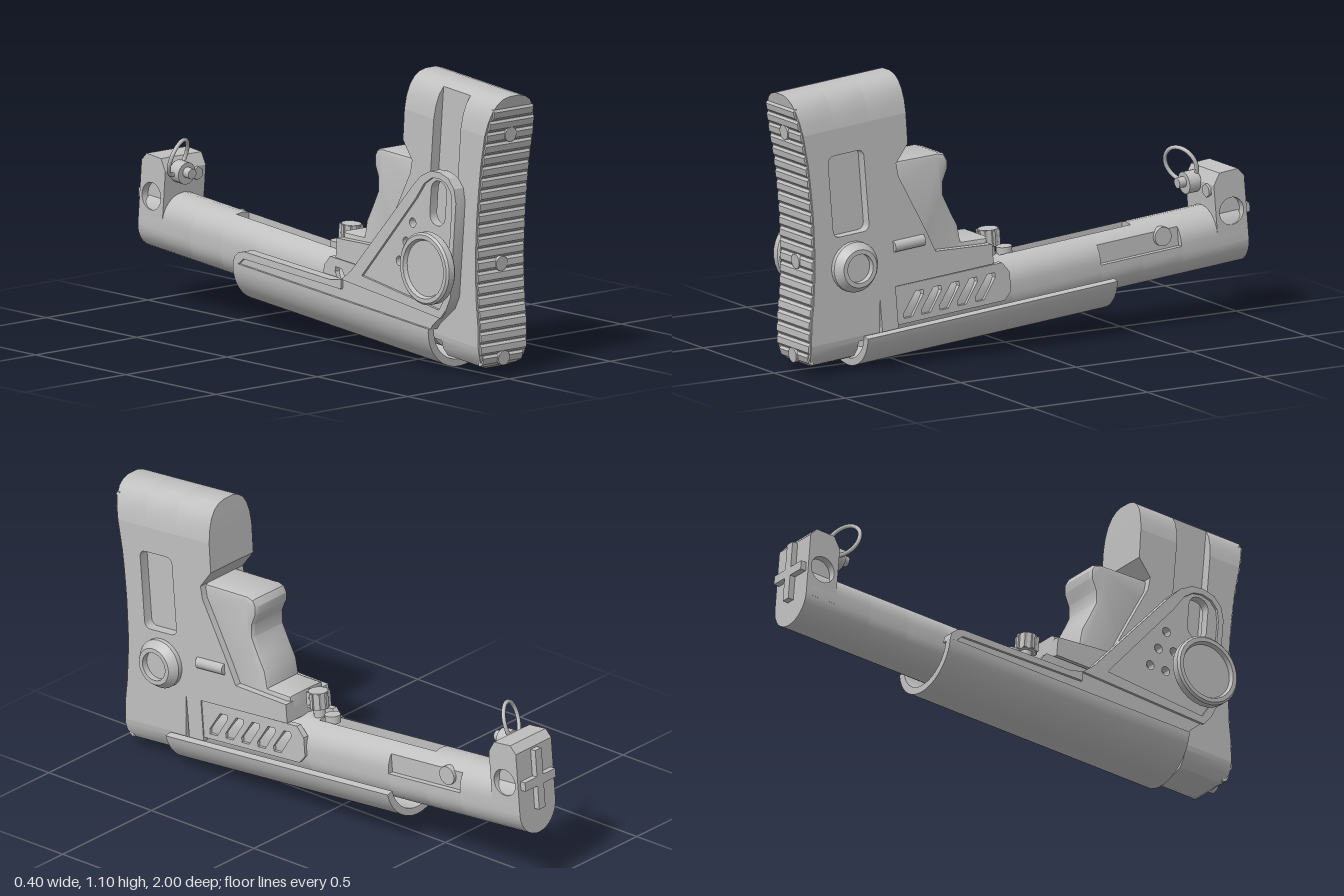
import * as THREE from 'three';
import { toCreasedNormals } from 'three/addons/utils/BufferGeometryUtils.js';

const grey = new THREE.MeshStandardMaterial({ color: 0xc0c0c0 });
grey.name = 'light grey';

// Rows of the stock body: [y, front z, back z, half width]
const foot = [[.107, .885, .716, .05], [.12, .905, .715, .085], [.15, .917, .712, .108],
  [.18, .917, .71, .117], [.18, .917, .618, .117], [.2, .915, .618, .12]];
const middle = [[.2, .915, .618], [.279, .907, .61], [.355, .892, .604], [.355, .892, .11],
  [.43, .882, .11], [.453, .879, .354], [.537, .871, .3875], [.679, .866, .45], [.767, .867, .489],
  [.818, .868, .495], [.883, .871, .439], [1.0, .883, .437]];
const crown = [[1.0, .883, .437, .12], [1.05, .89, .436, .113], [1.09, .896, .436, .1],
  [1.12, .9, .436, .08], [1.137, .902, .436, .055], [1.145, .903, .436, .025]];
const CORE = 0.08, HALF = 0.12, SLOT_BACK = 0.6, SLOT_FRONT = 0.75;

// Skin over rows of [y, front z, back z, left half width, right half width]
function loft(rows) {
  const pos = [], idx = [];
  for (const [y, f, b, w, v = w] of rows) pos.push(w, y, f, w, y, b, -v, y, b, -v, y, f);
  for (let i = 0; i < rows.length - 1; i++) {
    for (let j = 0; j < 4; j++) {
      const a = i * 4 + j, b = i * 4 + (j + 1) % 4;
      idx.push(a, b, b + 4, a, b + 4, a + 4);
    }
  }
  const t = (rows.length - 1) * 4;
  idx.push(0, 2, 1, 0, 3, 2, t, t + 1, t + 2, t, t + 2, t + 3);
  const g = new THREE.BufferGeometry();
  g.setAttribute('position', new THREE.Float32BufferAttribute(pos, 3));
  g.setIndex(idx);
  return toCreasedNormals(g, 0.5);
}

// Front z and half width of the body at a height
function bodyAt(y) {
  const rows = [...foot, ...middle.map(r => [...r, HALF]), ...crown];
  const i = rows.findIndex((r, k) => k > 0 && r[0] >= y && r[0] > rows[k - 1][0]);
  const a = rows[i - 1], b = rows[i], t = (y - a[0]) / (b[0] - a[0]);
  return [a[1] + (b[1] - a[1]) * t, a[3] + (b[3] - a[3]) * t];
}

const vec = pts => pts.map(p => new THREE.Vector2(p[0], p[1]));

// Profile in (z, y), pushed out along x from x0 to x1
function sideExtrude(pts, x0, x1, holes = [], bevel = 0) {
  const flip = list => vec(list.map(([z, y]) => [-z, y]));
  const edge = flip(pts);
  if (THREE.ShapeUtils.isClockWise(edge)) edge.reverse();
  const s = new THREE.Shape(edge);
  for (const h of holes) s.holes.push(new THREE.Path(flip(h)));
  const g = new THREE.ExtrudeGeometry(s, { depth: x1 - x0 - 2 * bevel, bevelEnabled: bevel > 0,
    bevelSize: bevel, bevelThickness: bevel, bevelOffset: -bevel, bevelSegments: 2 });
  return toCreasedNormals(g.rotateY(Math.PI / 2).translate(x0 + bevel, 0, 0), 0.5);
}

// Profile in (x, y), pushed out along z from z0 to z1
function longExtrude(pts, z0, z1) {
  const g = new THREE.ExtrudeGeometry(new THREE.Shape(vec(pts)), { depth: z1 - z0, bevelEnabled: false });
  return toCreasedNormals(g.translate(0, 0, z0), 0.5);
}

function arc(cx, cy, r, from, to, n) {
  return Array.from({ length: n + 1 }, (_, i) => {
    const a = THREE.MathUtils.degToRad(from + (to - from) * i / n);
    return [cx + r * Math.cos(a), cy + r * Math.sin(a)];
  });
}

// Rounded rectangle outline
function roundRect(u0, v0, u1, v1, r, n = 4) {
  return [...arc(u1 - r, v1 - r, r, 0, 90, n), ...arc(u0 + r, v1 - r, r, 90, 180, n),
    ...arc(u0 + r, v0 + r, r, 180, 270, n), ...arc(u1 - r, v0 + r, r, 270, 360, n)];
}

// Turned part with its axis along x; profile of [radius, x]
function turned(profile, y, z) {
  const g = new THREE.LatheGeometry(vec(profile), 28).rotateZ(-Math.PI / 2);
  return toCreasedNormals(g.translate(0, y, z), 0.5);
}

// Tube section, optionally with the top slot and the left window cut in
const tubeBottom = arc(0, .223, .1, 180, 360, 16);
function tubeProfile(slot, cut) {
  const side = cut ? [[.1, .25], [.078, .25], ...arc(0, .26, .1, 38.7, 72, 4)] : arc(0, .26, .1, 0, 72, 7);
  const top = slot ? [[.031, .3], [-.031, .3]] : [[0, .36]];
  return [...tubeBottom, ...side, ...top, ...arc(0, .26, .1, 108, 180, 7)];
}

export function createModel() {
  const model = new THREE.Group();
  const body = new THREE.Group();
  body.name = 'tiltedAssembly';
  model.add(body);
  const add = (name, geo) => {
    const m = new THREE.Mesh(geo, grey);
    m.name = name;
    body.add(m);
    return m;
  };
  const box = (name, w, h, d, x, y, z) => add(name, new THREE.BoxGeometry(w, h, d).translate(x, y, z));
  const rod = (name, r, len, axis, x, y, z, seg = 18) => {
    const g = new THREE.CylinderGeometry(r, r, len, seg);
    if (axis === 'x') g.rotateZ(Math.PI / 2);
    if (axis === 'z') g.rotateX(Math.PI / 2);
    return add(name, g.translate(x, y, z));
  };

  // Stock: core with a skin on each side, so the recesses are real
  add('stockCore', loft([...foot, ...middle.map(r => [...r, CORE])]));
  add('crownBack', loft(crown.map(([y, , b, w]) => [y, SLOT_BACK, b, w])));
  add('crownSlot', loft(crown.map(([y, , , w]) => [y, SLOT_FRONT, SLOT_BACK, w, Math.min(w, CORE)])));
  add('crownFront', loft(crown.map(([y, f, , w]) => [y, f, SLOT_FRONT, w])));
  const frontEdge = middle.filter((r, i) => i !== 3).map(r => [r[1], r[0]]);
  const backEdge = middle.map(r => [r[2], r[0]]).reverse();
  const slot = [[SLOT_FRONT, 1], [SLOT_FRONT, .52], [SLOT_BACK, .52], [SLOT_BACK, 1]];
  add('leftSkin', sideExtrude([...frontEdge, ...backEdge], CORE, HALF, [roundRect(.63, .59, .785, .9, .025)]));
  add('rightSkin', sideExtrude([...frontEdge, ...slot, ...backEdge], -HALF, -CORE));

  // Ribbed butt pad with three screws
  for (let y = .145; y < 1.12; y += .0445) {
    const w = bodyAt(y)[1] - .007;
    const at = (dy, out) => [bodyAt(y + dy)[0] + out, y + dy];
    add('padRib', sideExtrude([at(-.021, -.01), at(-.021, 0), at(-.012, .008), at(.012, .008),
      at(.021, 0), at(.021, -.01)], -w, w));
  }
  for (const y of [.995, .5, .15]) rod('padScrew', .028, .024, 'z', 0, y, bodyAt(y)[0], 16);

  // Thumb grip with finger curves and foot
  add('thumbGrip', sideExtrude([[.52, .82], [.293, .812], [.265, .802], [.253, .776], [.256, .742], [.278, .698],
    [.282, .648], [.253, .575], [.23, .523], [.223, .46], [.11, .452], [.11, .4], [.45, .4], [.56, .7]],
    -.093, .093, [], .018));

  // Tube: [back z, front z, top slot, left window]
  for (const [z0, z1, s, w] of [[.03, .64, 0, 0], [-.36, .03, 1, 0], [-.54, -.36, 1, 1], [-.71, -.54, 0, 1],
    [-.98, -.71, 0, 0]]) add('tube', longExtrude(tubeProfile(s, w), z0, z1));
  rod('windowStop', .036, .03, 'x', .076, .3, -.64);

  // Sleeve sides with slanted cuts, and collar
  const cuts = [0, 1, 2, 3, 4].map(i => {
    const z = .46 - i * .078;
    return [[z + .045, .225], [z + .01, .225], [z - .045, .3], [z - .045, .318], [z - .012, .318], [z + .045, .245]];
  });
  const sleeve = [[.56, .205], [.07, .205], [.04, .235], [.04, .31], [.07, .35], [.56, .352]];
  add('sleeveLeft', sideExtrude(sleeve, .088, .112, cuts));
  add('sleeveRight', sideExtrude(sleeve, -.112, -.088, cuts));
  box('sleeveCollar', .234, .17, .07, 0, .275, .57);

  // Trough under the tube
  add('trough', longExtrude([...arc(-.006, .225, .162, 180, 348, 28), ...arc(-.006, .225, .134, 348, 180, 28)],
    -.395, .69));

  // Right-hand arm rising from the trough, with slot, small holes and raised rim
  const slotHole = roundRect(.65, .62, .735, .79, .04, 6);
  const ports = [[.56, .6], [.53, .52], [.6, .53], [.5, .44], [.57, .44]].map(([z, y]) => arc(z, y, .018, 0, 330, 11));
  const armTop = [[.2, .3], [.25, .345], [.56, .745], [.6, .79], [.65, .82], [.7, .826], [.75, .815],
    [.785, .782], [.8, .73], [.8, .37], [.78, .32]];
  const wall = [[-.395, .222], [-.39, .248], [-.37, .268], [-.34, .278], [.14, .285]];
  add('arm', sideExtrude([...wall, ...armTop, [.7, .24], [.69, .222]], -.158, -.122, [slotHole, ...ports]));
  add('armRim', sideExtrude([...armTop, [.75, .28]], -.168, -.158,
    [[[.31, .34], [.58, .7], [.62, .765], [.66, .796], [.7, .803], [.74, .793], [.768, .765], [.778, .72],
      [.778, .38], [.74, .31]]]));
  add('wallLip', sideExtrude([...wall, [.2, .3], [.2, .262], [-.34, .25], [-.37, .222]], -.168, -.158));

  // Large clamp wheel on the right, small knob on the left
  add('wheel', turned([[0, -.215], [.105, -.215], [.112, -.23], [.128, -.23], [.136, -.222], [.136, -.195],
    [.13, -.188], [0, -.188]], .468, .71));
  rod('wheelShaft', .048, .08, 'x', -.155, .468, .71);
  add('knob', turned([[0, .11], [.095, .11], [.095, .138], [.072, .17], [.055, .17], [.055, .145], [0, .145]], .468, .71));

  // Short rods beside the grip
  for (const s of [1, -1]) rod('sideRod', .023, .13, 'z', s * .115, .507, .468, 12);

  // Thumb screw and small stud on the tube
  rod('thumbScrewStem', .022, .09, 'y', 0, .375, .054);
  rod('thumbScrewHead', .038, .065, 'y', 0, .425, .054, 12);
  for (let i = 0; i < 8; i++) {
    const a = i * Math.PI / 4;
    box('thumbScrewGrip', .012, .06, .012, .037 * Math.cos(a), .425, .054 + .037 * Math.sin(a));
  }
  rod('stud', .03, .03, 'y', 0, .362, -.01);

  // End cap, built in layers so a scoop cuts each side
  const capLow = [[-.867, .22], [-.867, .45], [-.895, .493], [-.975, .495], [-1.0, .465], [-1.0, .22]];
  const scoop = arc(-.935, .34, .052, 0, 345, 23);
  add('capCore', sideExtrude(capLow, -.07, .07));
  add('capLeft', sideExtrude(capLow, .07, .1, [scoop]));
  add('capRight', sideExtrude(capLow, -.1, -.07, [scoop]));
  add('capBottom', longExtrude(tubeBottom, -1.0, -.867));
  // Raised cross on the back of the cap
  box('crossUpright', .035, .235, .03, 0, .34, -1.008);
  box('crossBar', .17, .035, .03, 0, .335, -1.008);

  // Pull pin and its ring
  rod('pullPin', .042, .05, 'z', -.035, .445, -.845);
  rod('pinNeck', .02, .04, 'z', -.035, .45, -.81);
  rod('capBolt', .026, .016, 'z', .055, .425, -.865, 6);
  const ring = add('pullRing', new THREE.TorusGeometry(.07, .008, 8, 32));
  ring.position.set(-.07, .508, -.834);
  ring.rotation.set(.25, .4, 0);

  // Tilt the whole assembly and rest it on the ground
  body.rotation.x = 0.085;
  model.updateMatrixWorld(true);
  const b = new THREE.Box3().setFromObject(model, true);
  const c = b.getCenter(new THREE.Vector3());
  body.position.set(-c.x, -b.min.y, -c.z);
  return model;
}
